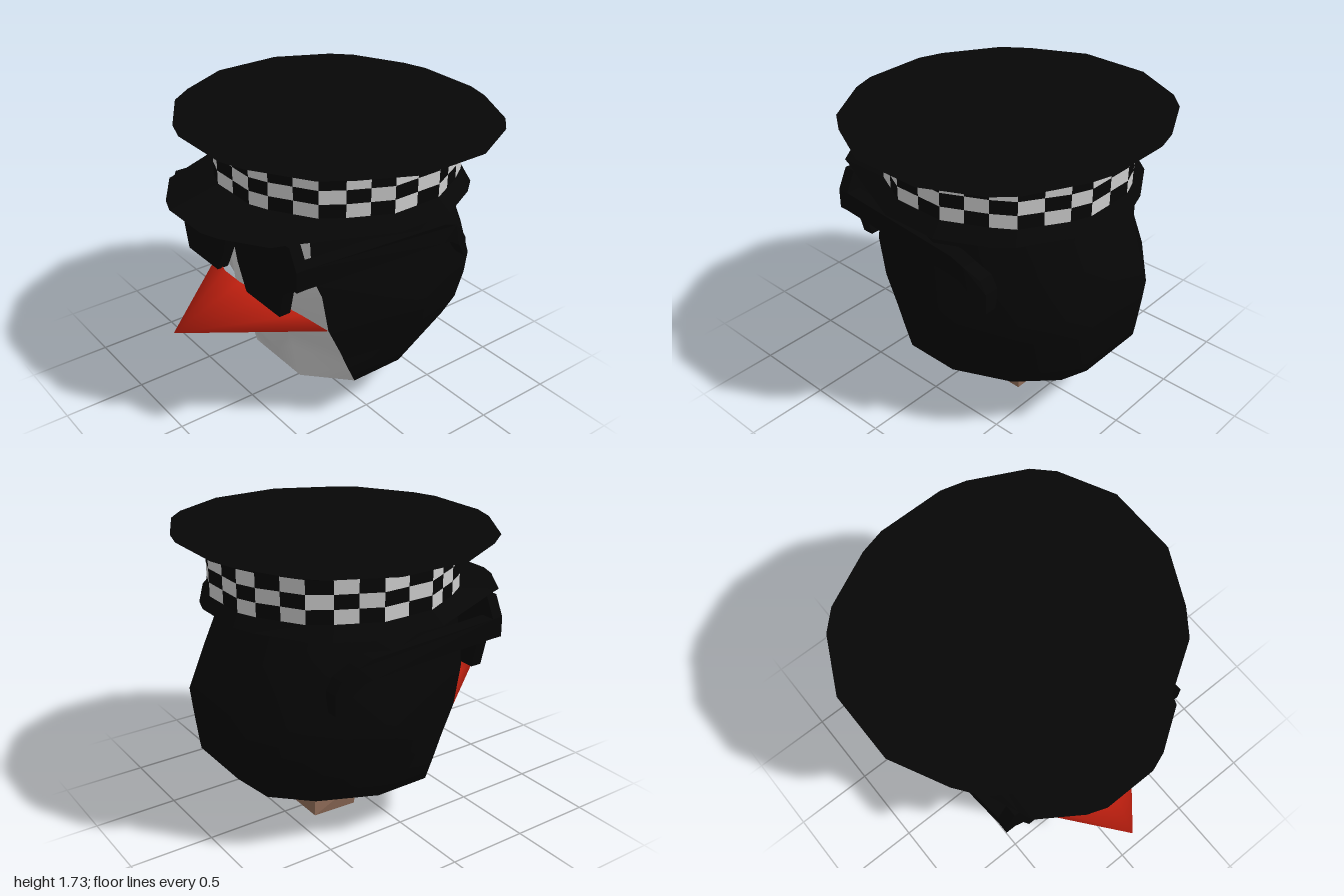
import * as THREE from 'three';

const BLACK = 0x060606, LIGHT = 0xcccccc, RED = 0xcc2211, BROWN = 0x8f6c58;

function add(parent, name, geometry, color, flatShading = true) {
  const material = new THREE.MeshStandardMaterial({ color, flatShading, side: THREE.DoubleSide });
  const mesh = new THREE.Mesh(geometry, material);
  mesh.name = name;
  parent.add(mesh);
}

function build(points, index) {
  const g = new THREE.BufferGeometry();
  g.setAttribute('position', new THREE.Float32BufferAttribute(points.flat(), 3));
  g.setIndex(index);
  g.computeVertexNormals();
  return g;
}

// Skin over columns of points: columns run toward the viewer's right, rows upward
function grid(cols, closed = false) {
  const n = cols.length, m = cols[0].length, index = [];
  for (let i = 0; i < (closed ? n : n - 1); i++) {
    for (let j = 0; j < m - 1; j++) {
      const a = i * m + j, b = ((i + 1) % n) * m + j;
      index.push(a, b, b + 1, a, b + 1, a + 1);
    }
  }
  return build(cols.flat(), index);
}

// Fan from one apex point over a closed loop
function fan(apex, loop) {
  const n = loop.length, index = [];
  for (let i = 0; i < n; i++) index.push(0, 1 + i, 1 + (i + 1) % n);
  return build([apex, ...loop], index);
}

const flip = ([x, y, z]) => [-x, y, z];
const mirrorCols = cols => cols.map(c => c.map(flip)).reverse();

// Closed ring from its +x half (front to back), as pairs
const ring = half => [...half, ...half.map(([x, z]) => [-x, z]).reverse()];
const lift = (pts, y) => pts.map(([x, z]) => [x, y, z]);
const loft = rings => grid(rings[0].map((_, i) => rings.map(r => r[i])), true);

function makeHead() {
  const head = new THREE.Group();
  head.name = 'head';

  // Columns of the +x half; the chin juts out, the pale face ends at the edge column
  const middle = [[0, .12, -.1], [0, .2, .3], [0, .38, .39], [0, .53, .49], [0, .69, .49], [0, .9, .53], [0, 1.1, .44], [0, 1.26, .41], [0, 1.34, .39]];
  const chin = [[.1, .12, -.1], [.13, .2, .3], [.13, .38, .39], [.13, .53, .49], [.13, .69, .49], [.14, .9, .51], [.14, 1.1, .43], [.12, 1.26, .41], [.12, 1.34, .39]];
  const cheek = [[.15, .12, -.1], [.23, .2, .3], [.17, .39, .31], [.17, .48, .33], [.17, .69, .41], [.3, .9, .45], [.3, 1.1, .42], [.3, 1.26, .41], [.3, 1.34, .38]];
  const edge = [[.2, .12, -.1], [.55, .28, .14], [.55, .4, .195], [.55, .53, .25], [.55, .71, .335], [.55, .95, .38], [.5, 1.06, .41], [.47, 1.26, .4], [.45, 1.34, .35]];
  const side = [[.2, .13, -.26], [.55, .28, -.2], [.59, .4, -.22], [.64, .53, -.22], [.71, .72, -.22], [.74, .82, -.22], [.7, 1.07, -.21], [.67, 1.23, -.2], [.59, 1.34, -.2]];
  const rear = [[.2, .15, -.38], [.4, .28, -.53], [.46, .4, -.63], [.51, .53, -.68], [.55, .72, -.7], [.56, .86, -.71], [.53, 1.1, -.63], [.48, 1.26, -.58], [.45, 1.34, -.55]];
  const back = [[.12, .16, -.42], [.2, .28, -.73], [.22, .47, -.92], [.23, .53, -.925], [.24, .72, -.945], [.24, .86, -.96], [.23, 1.1, -.86], [.22, 1.26, -.79], [.2, 1.34, -.76]];

  const half = [middle, chin, cheek, edge];
  const front = [...mirrorCols(half.slice(1)), ...half];
  add(head, 'face', grid(front.map(c => c.slice(1, 8))), LIGHT, false);
  add(head, 'throat', grid(front.map(c => c.slice(0, 2))), BLACK);
  add(head, 'forehead', grid(front.map(c => c.slice(7))), BLACK);
  const hood = [edge, side, rear, back];
  add(head, 'hood', grid([...hood, ...mirrorCols(hood)]), BLACK, false);
  return head;
}

function makeBeak() {
  // Base outline, from the top centre round to the bottom; apex is the tip
  const half = [[.08, .895, .6], [.25, .855, .53], [.43, .79, .43], [.55, .71, .335],
    [.35, .67, .46], [.2, .58, .49], [.06, .515, .5]];
  const loop = [...half, ...half.map(flip).reverse()].reverse();
  return fan([0, .67, 1], loop);
}

function makeNeck() {
  const neck = new THREE.Group();
  neck.name = 'neck';
  const top = [[.2, .17, -.1], [.2, .17, -.41], [-.2, .17, -.41], [-.2, .17, -.1]];
  const bottom = [[.16, 0, -.1], [.2, .04, -.41], [-.2, .04, -.41], [-.16, 0, -.1]];
  const inner = [[.11, .03, -.15], [.13, .055, -.36], [-.13, .055, -.36], [-.11, .03, -.15]];
  add(neck, 'neckSkin', loft([inner, bottom, top]), BROWN);
  add(neck, 'neckCore', fan([0, .043, -.25], [...inner].reverse()), LIGHT);
  return neck;
}

function makeGlasses() {
  const glasses = new THREE.Group();
  glasses.name = 'sunglasses';
  const half = [[.04, 1.14], [.07, 1.03], [.15, .87], [.47, .87], [.51, 1.03], [.57, 1.1],
    [.63, 1.1], [.63, 1.22], [.57, 1.34], [.12, 1.34], [.04, 1.22]];
  const outline = ring(half).map(p => new THREE.Vector2(...p));
  const lens = new THREE.ExtrudeGeometry(new THREE.Shape(outline), { depth: .07, bevelEnabled: false });
  add(glasses, 'lenses', lens.translate(0, 0, .535), BLACK);

  // Temple arm drawn in the z-y plane, hooked down at the ear
  const path = [[.54, 1.22], [-.36, 1.22], [-.45, 1.19], [-.53, 1.12], [-.57, 1.05], [-.57, .93],
    [-.48, 1.05], [-.42, 1.09], [-.36, 1.1], [.54, 1.1]].map(p => new THREE.Vector2(...p));
  for (const s of [1, -1]) {
    const arm = new THREE.ExtrudeGeometry(new THREE.Shape(path), { depth: .09, bevelEnabled: false });
    arm.rotateY(-Math.PI / 2).translate(s * .66 + .045, 0, 0);
    // Both ends draw in toward the head
    const pos = arm.attributes.position;
    for (let i = 0; i < pos.count; i++) {
      const z = pos.getZ(i);
      const inward = z > .5 ? .075 : z < -.5 ? .04 : 0;
      pos.setX(i, pos.getX(i) - s * inward);
    }
    add(glasses, s > 0 ? 'leftArm' : 'rightArm', arm, BLACK);
  }
  return glasses;
}

function makeCap() {
  const cap = new THREE.Group();
  cap.name = 'cap';
  const cz = -.135;

  const band = ring([[.155, .705], [.27, .66], [.51, .51], [.59, .39], [.705, .155],
    [.705, -.155], [.59, -.39], [.51, -.51], [.27, -.66], [.155, -.705]].map(([x, z]) => [x, z + cz]));

  // Flared crown
  const crown = ring([[.2, .77], [.35, .72], [.67, .52], [.78, .37], [.94, .05],
    [.94, -.37], [.78, -.69], [.67, -.8], [.35, -.96], [.2, -1]]);
  add(cap, 'crown', loft([lift(band, 1.65), lift(crown, 1.73)]), BLACK);
  add(cap, 'crownTop', fan([0, 1.73, cz], lift(crown, 1.73)), BLACK);

  // Brim with a longer visor in front
  const brim = ring([[.16, .88], [.27, .84], [.51, .68], [.54, .6], [.78, .04],
    [.78, -.31], [.65, -.57], [.56, -.68], [.29, -.84], [.17, -.88]]);
  add(cap, 'brim', loft([lift(brim, 1.34), lift(band, 1.41)]), BLACK);
  add(cap, 'brimUnderside', fan([0, 1.34, cz], lift(brim, 1.34).reverse()), BLACK);

  // Chequered band: long sides hold two columns of checks, short sides one
  const columns = [1, 2, 1, 2, 2, 2, 1, 2, 1, 2];
  const edges = [];
  band.forEach((p, i) => {
    const q = band[(i + 1) % band.length], steps = columns[i % 10];
    for (let s = 0; s < steps; s++) {
      edges.push([p[0] + (q[0] - p[0]) * s / steps, p[1] + (q[1] - p[1]) * s / steps]);
    }
  });
  const checks = { [BLACK]: [[], []], [LIGHT]: [[], []] };
  edges.forEach((p, i) => {
    const q = edges[(i + 1) % edges.length];
    for (let row = 0; row < 3; row++) {
      const [pts, index] = checks[(i + row) % 2 === 0 ? LIGHT : BLACK];
      const y = 1.41 + row * .08, k = pts.length;
      pts.push([p[0], y, p[1]], [q[0], y, q[1]], [q[0], y + .08, q[1]], [p[0], y + .08, p[1]]);
      index.push(k, k + 1, k + 2, k, k + 2, k + 3);
    }
  });
  add(cap, 'darkChecks', build(...checks[BLACK]), BLACK);
  add(cap, 'lightChecks', build(...checks[LIGHT]), LIGHT);
  return cap;
}

export function createModel() {
  const model = new THREE.Group();
  model.name = 'birdHeadWithCap';
  model.add(makeHead(), makeNeck(), makeGlasses(), makeCap());
  add(model, 'beak', makeBeak(), RED, false);
  return model;
}
